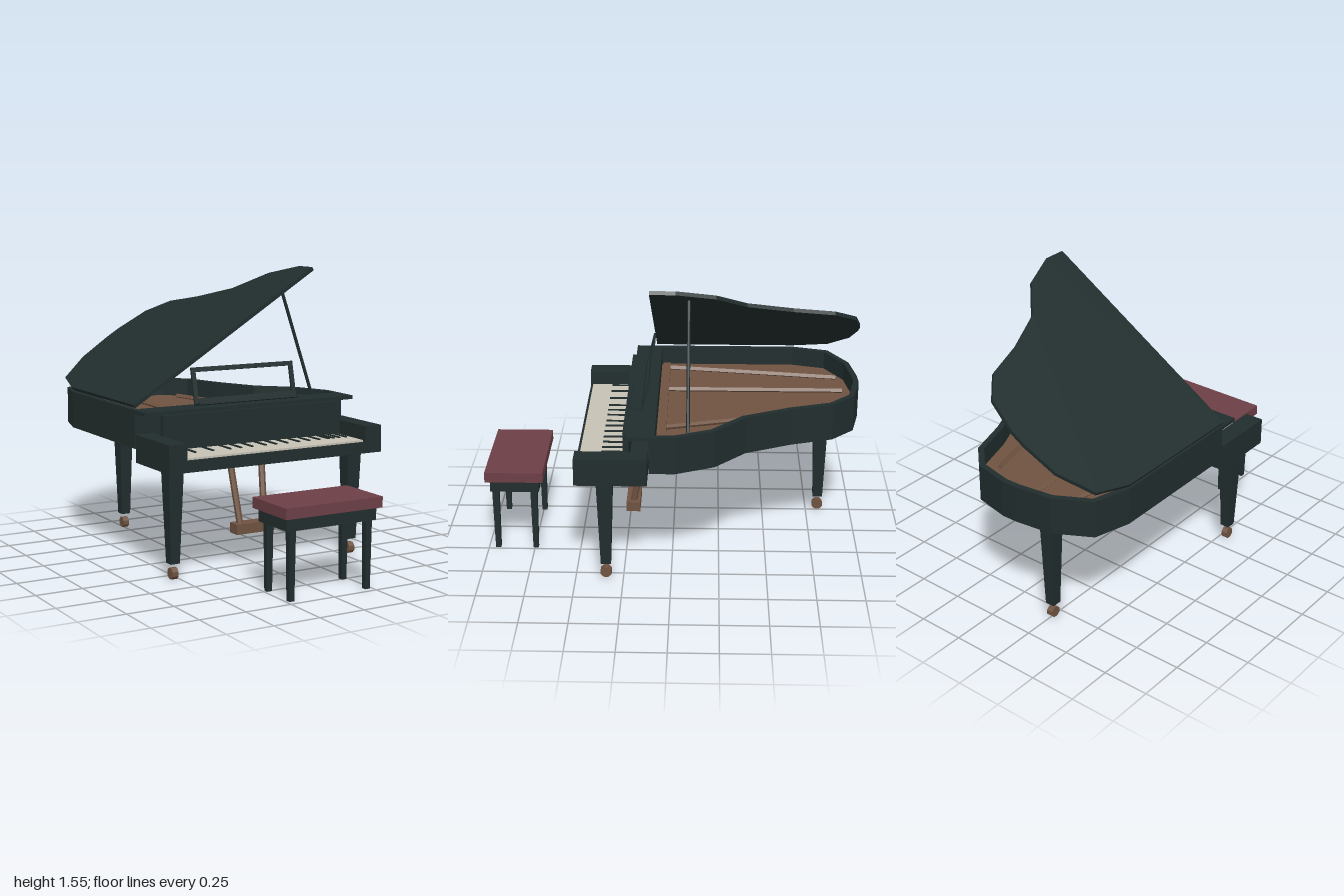
import * as THREE from 'three';

const paint = (name, color) => {
  const m = new THREE.MeshStandardMaterial({ color, flatShading: true });
  m.name = name;
  return m;
};

// Half-plan of the case as [x, -z]
const OUTLINE = [
  [-0.635, -0.11], [0.635, -0.11], [0.635, 0.02], [0.55, 0.22], [0.38, 0.38], [0.27, 0.62],
  [0.2, 0.84], [0.08, 0.96], [-0.11, 1], [-0.2, 0.998], [-0.394, 0.97], [-0.58, 0.865], [-0.635, 0.67],
].map(([x, y]) => new THREE.Vector2(x, y));

// Moves every edge of a counter-clockwise polygon inwards by d
function inset(points, d) {
  const n = points.length;
  return points.map((p, i) => {
    const a = p.clone().sub(points[(i + n - 1) % n]).normalize();
    const b = points[(i + 1) % n].clone().sub(p).normalize();
    const na = new THREE.Vector2(-a.y, a.x), nb = new THREE.Vector2(-b.y, b.x);
    return na.clone().add(nb).multiplyScalar(d / (1 + na.dot(nb))).add(p);
  });
}

// Flat plan shape raised to a slab standing on y = 0
function slab(points, height, hole) {
  const shape = new THREE.Shape(points);
  if (hole) shape.holes.push(new THREE.Path(hole));
  return new THREE.ExtrudeGeometry(shape, { depth: height, bevelEnabled: false }).rotateX(-Math.PI / 2);
}

export function createModel() {
  const ebony = paint('ebony lacquer', 0x212d2d);
  const wood = paint('warm wood', 0x6f5341);
  const red = paint('red cushion', 0x6c3f46);
  const ivory = paint('ivory', 0xc6c1b5);
  const model = new THREE.Group();
  model.name = 'grandPiano';

  const add = (name, geometry, material, parent = model) => {
    const mesh = new THREE.Mesh(geometry, material);
    mesh.name = name;
    parent.add(mesh);
    return mesh;
  };
  // Box given by its min and max on each axis
  const box = (name, material, [x0, x1], [y0, y1], [z0, z1], parent) => {
    const g = new THREE.BoxGeometry(x1 - x0, y1 - y0, z1 - z0);
    g.translate((x0 + x1) / 2, (y0 + y1) / 2, (z0 + z1) / 2);
    return add(name, g, material, parent);
  };
  // Straight bar between two points
  const rod = (name, material, from, to, radius, sides) => {
    const a = new THREE.Vector3(...from), b = new THREE.Vector3(...to);
    const mesh = add(name, new THREE.CylinderGeometry(radius, radius, a.distanceTo(b), sides), material);
    mesh.position.copy(a).add(b).multiplyScalar(0.5);
    mesh.quaternion.setFromUnitVectors(new THREE.Vector3(0, 1, 0), b.sub(a).normalize());
  };
  // Square leg tapering downwards
  const leg = (name, x, z, y0, y1, top, bottom) => {
    const g = new THREE.CylinderGeometry(top * Math.SQRT2, bottom * Math.SQRT2, y1 - y0, 4).rotateY(Math.PI / 4);
    add(name, g, ebony).position.set(x, (y0 + y1) / 2, z);
  };

  // Case: rim, bottom and soundboard
  const inner = inset(OUTLINE, 0.03);
  add('rim', slab(OUTLINE, 0.2, inner), ebony).position.y = 0.65;
  add('caseBottom', slab(inner, 0.02), ebony).position.y = 0.652;
  add('soundboard', slab(inner, 0.01), wood).position.y = 0.74;

  // Frame bars over the soundboard
  box('frameCrossBar', wood, [-0.57, 0.57], [0.75, 0.77], [0.03, 0.07]);
  for (const [x0, x1, z1] of [[-0.52, -0.39, -0.9], [-0.2, -0.2, -0.92], [0.31, 0.09, -0.8]])
    rod('frameBar', wood, [x0, 0.76, 0.03], [x1, 0.76, z1], 0.014, 4);

  // Raised lid and its prop
  const lid = add('lid', slab(OUTLINE.map(p => new THREE.Vector2(p.x + 0.635, p.y)), 0.02), ebony);
  lid.position.set(-0.63, 0.86, 0);
  lid.rotation.z = 0.557;
  rod('lidProp', ebony, [0.56, 0.845, -0.085], [0.343, 1.48, -0.085], 0.009, 6);

  // Keyboard section
  box('keyBed', ebony, [-0.635, 0.635], [0.58, 0.64], [0.12, 0.49]);
  for (const s of [-1, 1])
    box('keyArm', ebony, s < 0 ? [-0.635, -0.535] : [0.535, 0.635], [0.64, 0.725], [0.12, 0.49]);
  box('fallboard', ebony, [-0.54, 0.54], [0.652, 0.83], [0.215, 0.245]);
  box('frontShelf', ebony, [-0.635, 0.635], [0.83, 0.85], [0.11, 0.222]);

  // Keys
  const pitch = 1.056 / 52;
  for (let i = 0; i < 52; i++) {
    const x = -0.528 + i * pitch;
    box('whiteKey', ivory, [x, x + pitch], [0.64, 0.65], [0.24, 0.476]);
  }
  const blackKeys = [-0.505, -0.42, -0.317, -0.217, -0.153, -0.085, -0.005, 0.058,
    0.127, 0.2, 0.265, 0.328, 0.386, 0.418, 0.455, 0.497];
  for (const x of blackKeys)
    box('blackKey', ebony, [x - 0.005, x + 0.005], [0.65, 0.657], [0.245, 0.365]);

  // Music desk: open frame leaning back, with a ledge in front
  const desk = new THREE.Group();
  desk.name = 'musicDesk';
  desk.position.set(0, 0.853, 0.155);
  desk.rotation.x = -0.23;
  model.add(desk);
  const rect = (x, y0, y1) => [[-x, y0], [x, y0], [x, y1], [-x, y1]].map(p => new THREE.Vector2(...p));
  const frame = new THREE.Shape(rect(0.31, 0, 0.2));
  frame.holes.push(new THREE.Path(rect(0.286, 0.038, 0.176)));
  add('deskFrame', new THREE.ExtrudeGeometry(frame, { depth: 0.012, bevelEnabled: false }).translate(0, 0, -0.006), ebony, desk);
  box('deskLedge', ebony, [-0.312, 0.312], [0, 0.01], [0.006, 0.066], desk);

  // Piano legs and casters
  for (const [x, z, top] of [[-0.54, 0.34, 0.59], [0.54, 0.34, 0.59], [-0.257, -0.815, 0.655]]) {
    leg('pianoLeg', x, z, 0.09, top, 0.043, 0.026);
    const wheel = new THREE.CylinderGeometry(0.031, 0.031, 0.034, 8).rotateX(Math.PI / 2).rotateZ(Math.PI / 8);
    add('caster', wheel.rotateY(Math.PI / 2), wood).position.set(x, 0.037, z);
  }

  // Pedal lyre
  box('pedalBox', wood, [-0.115, 0.115], [0.165, 0.22], [0.18, 0.255]);
  for (const s of [-1, 1])
    rod('lyrePost', wood, [s * 0.075, 0.21, 0.218], [s * 0.1, 0.6, 0.137], 0.018, 6);

  // Bench
  box('benchCushion', red, [-0.28, 0.28], [0.415, 0.47], [0.69, 1]);
  box('benchFrame', ebony, [-0.26, 0.26], [0.35, 0.415], [0.715, 0.975]);
  for (const x of [-0.222, 0.222])
    for (const z of [0.745, 0.95]) leg('benchLeg', x, z, 0, 0.35, 0.018, 0.014);

  return model;
}
